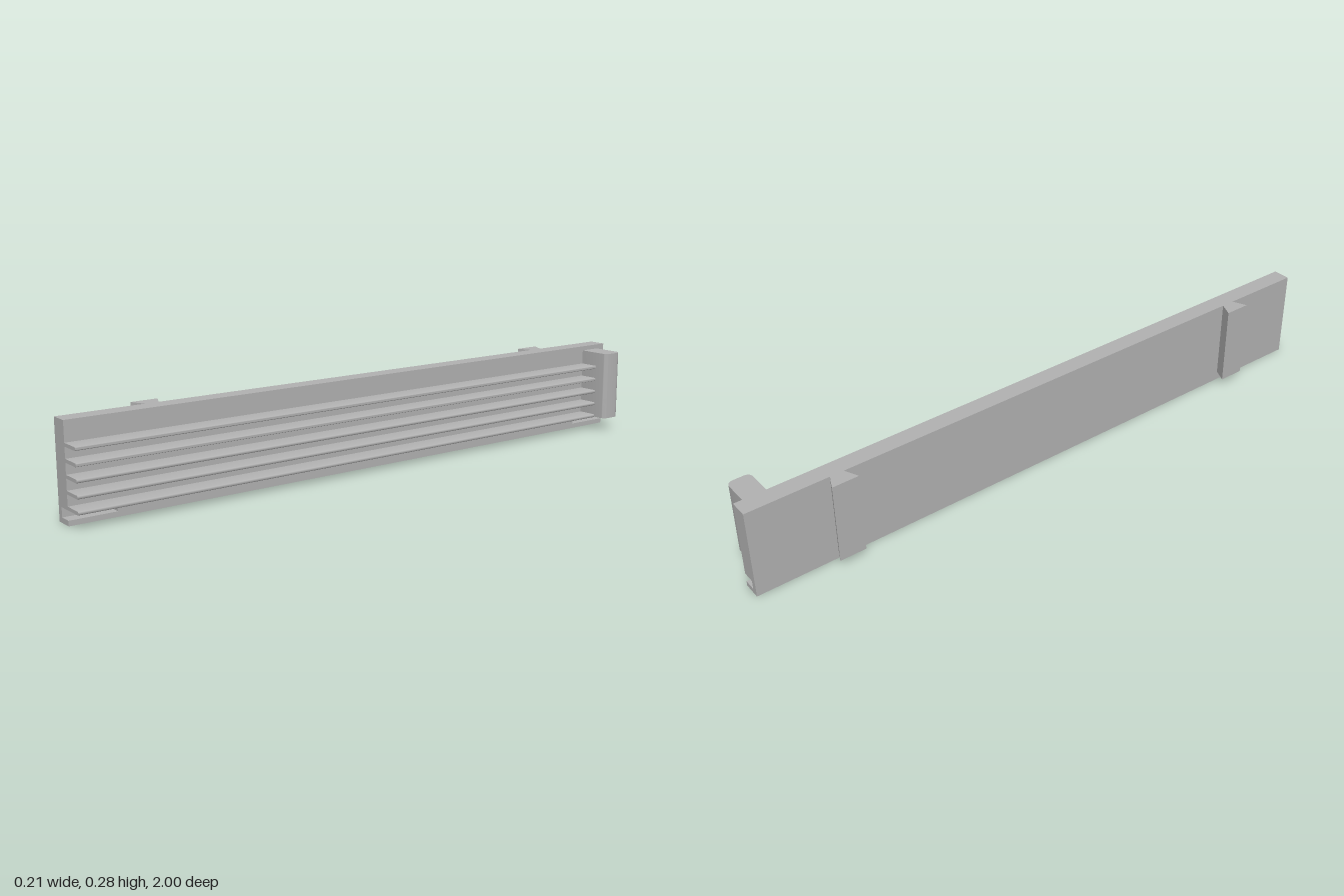
import * as THREE from 'three';
import { toCreasedNormals } from 'three/addons/utils/BufferGeometryUtils.js';

const grey = new THREE.MeshStandardMaterial({ color: 0xb0b0b0 });
grey.name = 'plain grey';

const FACE = -0.005; // x of the panel's outer face
const BACK = -0.06;  // x of the panel's rear face

function addPart(group, name, geometry) {
  const mesh = new THREE.Mesh(geometry, grey);
  mesh.name = name;
  group.add(mesh);
  return mesh;
}

function polygon(points) {
  return new THREE.Shape(points.map(([x, y]) => new THREE.Vector2(x, y)));
}

// Extrude an x/y section along z
function alongZ(shape, z0, z1) {
  const g = new THREE.ExtrudeGeometry(shape, { depth: z1 - z0, bevelEnabled: false, curveSegments: 8 });
  return toCreasedNormals(g.translate(0, 0, z0), 0.6);
}

// Extrude a plan drawn as (x, -z) upward along y
function alongY(shape, y0, y1) {
  const g = new THREE.ExtrudeGeometry(shape, { depth: y1 - y0, bevelEnabled: false, curveSegments: 8 });
  return toCreasedNormals(g.rotateX(-Math.PI / 2).translate(0, y0, 0), 0.6);
}

// Rectangle with its two right-hand corners rounded
function roundedRight(x0, x1, y0, y1, r) {
  const s = new THREE.Shape();
  s.moveTo(x0, y0);
  s.lineTo(x1 - r, y0);
  s.absarc(x1 - r, y0 + r, r, -Math.PI / 2, 0, false);
  s.lineTo(x1, y1 - r);
  s.absarc(x1 - r, y1 - r, r, 0, Math.PI / 2, false);
  s.lineTo(x0, y1);
  s.closePath();
  return s;
}

export function createModel() {
  const model = new THREE.Group();
  model.name = 'slatted rail';

  // Back panel: solid middle, with a slot cut into the lower edge at each end
  const panel = new THREE.Group();
  panel.name = 'backPanel';
  model.add(panel);
  const solid = polygon([[BACK, 0], [FACE, 0], [FACE, 0.28], [BACK, 0.28]]);
  const slotted = polygon([
    [BACK, 0], [FACE, 0], [FACE, 0.015], [-0.043, 0.015],
    [-0.043, 0.043], [FACE, 0.043], [FACE, 0.28], [BACK, 0.28],
  ]);
  addPart(panel, 'panelMiddle', alongZ(solid, -0.858, 0.86));
  addPart(panel, 'panelFrontEnd', alongZ(slotted, 0.86, 1));
  addPart(panel, 'panelBackEnd', alongZ(slotted, -1, -0.858));

  // Five thin horizontal fins
  for (let i = 0; i < 5; i++) {
    const y = 0.043 + i * 0.042;
    addPart(model, 'fin' + (i + 1), alongZ(roundedRight(FACE, 0.057, y, y + 0.01, 0.003), -0.9, 1));
  }

  // End post closing the fins at the back
  addPart(model, 'endPost', alongY(roundedRight(FACE, 0.102, 0.898, 0.968, 0.018), 0.045, 0.266));

  // Dovetail mounting keys on the rear face
  for (const z of [-0.727, 0.72]) {
    const plan = polygon([
      [BACK, -z - 0.021], [BACK, -z + 0.021], [-0.104, -z + 0.041], [-0.104, -z - 0.041],
    ]);
    addPart(model, z > 0 ? 'frontDovetail' : 'backDovetail', alongY(plan, 0.029, 0.28));
  }

  return model;
}
